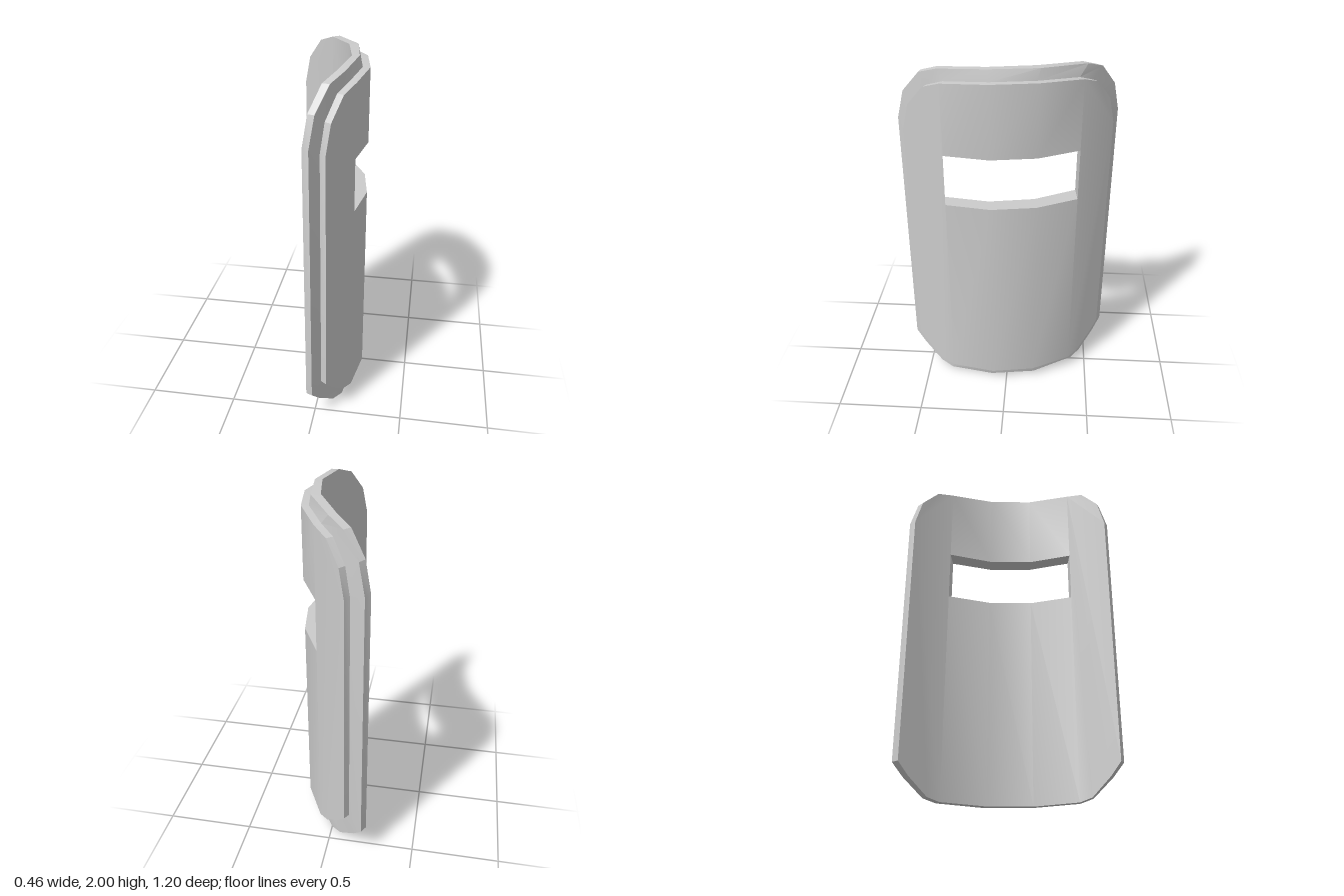
import * as THREE from 'three';
import { toCreasedNormals } from 'three/addons/utils/BufferGeometryUtils.js';

// Plan curves (x, z) of the shield's layers, from its back end to its front end.
const BACK = [[-0.23, -0.56], [-0.035, -0.38], [0.09, -0.15], [0.135, 0.1], [0.095, 0.355], [-0.035, 0.585]];
const RIM = [[-0.207, -0.6], [0, -0.41], [0.137, -0.17], [0.175, 0.095], [0.137, 0.353], [0, 0.6]];
const arc = (radius) => [-54, -36, -18, 0, 18, 36].map((deg) => {
  const a = THREE.MathUtils.degToRad(deg);
  return [-0.58 + radius * Math.cos(a), 0.085 + radius * Math.sin(a)];
});
const STEP = arc(0.77);
const FACE = arc(0.81);

// Outline as [s, y], s running 0..5 along a plan curve; each half is mirrored.
const mirror = (half) => [...half, ...half.map(([s, y]) => [5 - s, y]).reverse()];
const TOP = mirror([[0, 1.67], [0.17, 1.83], [0.58, 1.95], [1, 1.987], [2, 2]]);
const BOTTOM = mirror([[0, 0.19], [0.25, 0.12], [0.7, 0.025], [1, 0.008], [2, 0]]);
const inset = (pts) => pts.map(([s, y]) => [s, 0.07 + y * 0.935]);

// View slot
const SLOT = { from: 1, to: 4, low: 1.24, high: 1.535 };

function place(curve, [s, y]) {
  const k = Math.min(Math.floor(s), 4);
  const t = s - k;
  const [a, b] = [curve[k], curve[k + 1]];
  return new THREE.Vector3(a[0] + (b[0] - a[0]) * t, y, a[1] + (b[1] - a[1]) * t);
}

function addPolygon(out, pts, flip = false) {
  for (let i = 1; i < pts.length - 1; i++) {
    const tri = [pts[0], pts[i], pts[i + 1]];
    if (flip) tri.reverse();
    tri.forEach((p) => out.push(p.x, p.y, p.z));
  }
}

// Curved sheet, one flat panel per bend, leaving the slot open
function addSheet(out, curve, top, bottom, flip) {
  for (let k = 0; k < 5; k++) {
    const within = ([s]) => s >= k && s <= k + 1;
    const upper = top.filter(within);
    const lower = bottom.filter(within).reverse();
    const open = k >= SLOT.from && k < SLOT.to;
    const panels = open
      ? [[...upper, [k + 1, SLOT.high], [k, SLOT.high]], [[k, SLOT.low], [k + 1, SLOT.low], ...lower]]
      : [[...upper, ...lower]];
    panels.forEach((panel) => addPolygon(out, panel.map((p) => place(curve, p)), flip));
  }
}

// Band of quads joining two closed loops
function addBand(out, loopA, loopB) {
  loopA.forEach((p, i) => {
    const j = (i + 1) % loopA.length;
    addPolygon(out, [p, loopA[j], loopB[j], loopB[i]]);
  });
}

function makeMesh(name, positions) {
  const geometry = new THREE.BufferGeometry();
  geometry.setAttribute('position', new THREE.Float32BufferAttribute(positions, 3));
  const mesh = new THREE.Mesh(
    toCreasedNormals(geometry, 0.4),
    new THREE.MeshStandardMaterial({ color: 0xcccccc })
  );
  mesh.name = name;
  return mesh;
}

export function createModel() {
  const group = new THREE.Group();
  group.name = 'curvedShield';
  const top = inset(TOP);
  const bottom = inset(BOTTOM);
  const outer = [...TOP, ...[...BOTTOM].reverse()];
  const inner = [...top, ...[...bottom].reverse()];
  const loop = (curve, outline) => outline.map((p) => place(curve, p));

  // Back plate: hollow side, edge and sloping border
  const back = [];
  addSheet(back, BACK, TOP, BOTTOM, true);
  addBand(back, loop(BACK, outer), loop(RIM, outer));
  addBand(back, loop(RIM, outer), loop(STEP, inner));
  group.add(makeMesh('backPlate', back));

  // Raised front plate: edge and bulging side
  const front = [];
  addBand(front, loop(STEP, inner), loop(FACE, inner));
  addSheet(front, FACE, top, bottom, false);
  group.add(makeMesh('frontPlate', front));

  // Walls of the view slot
  const slot = [];
  for (let s = SLOT.to; s >= SLOT.from; s--) slot.push([s, SLOT.high]);
  for (let s = SLOT.from; s <= SLOT.to; s++) slot.push([s, SLOT.low]);
  const walls = [];
  addBand(walls, loop(BACK, slot), loop(FACE, slot));
  group.add(makeMesh('viewSlotWalls', walls));

  return group;
}
